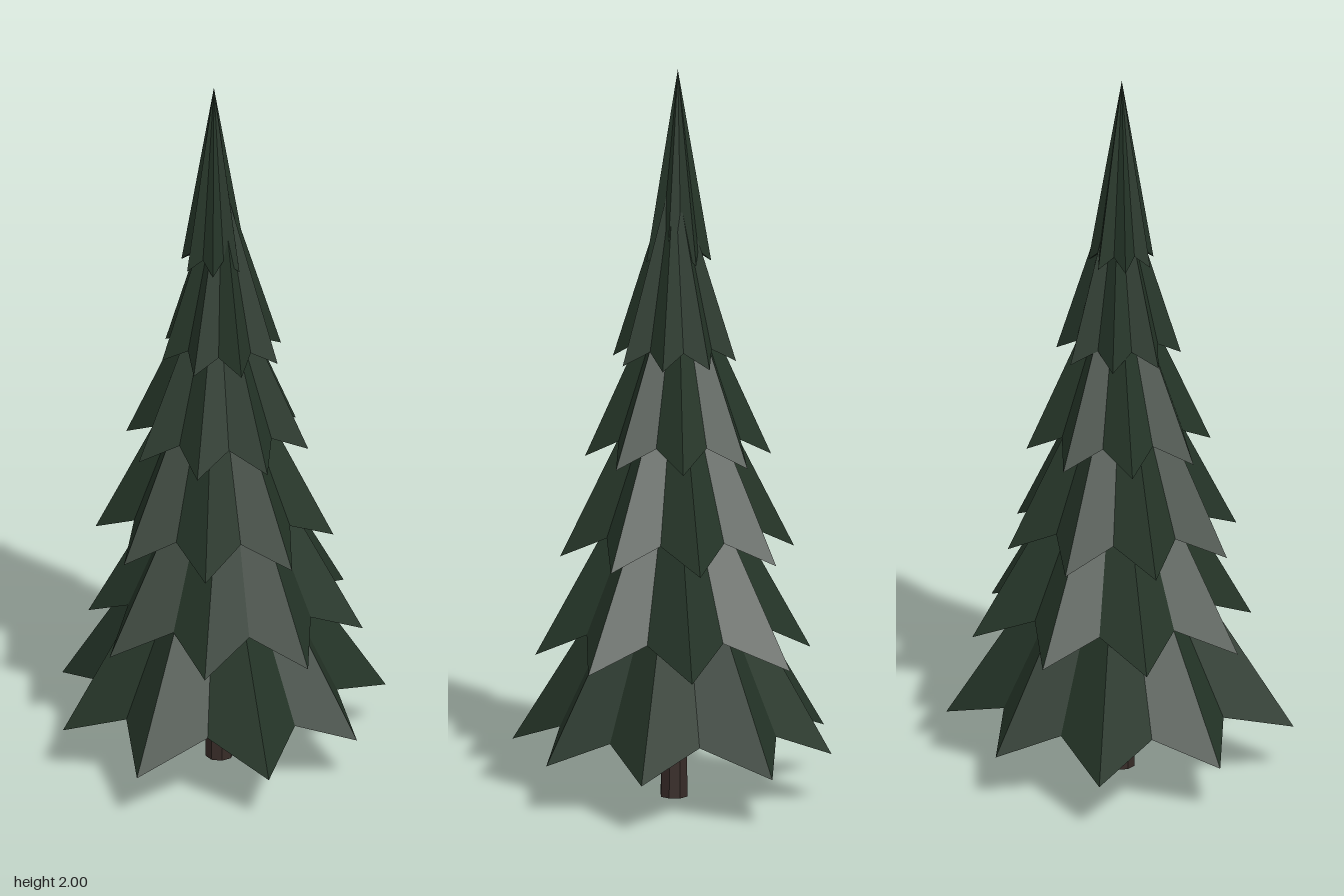
import * as THREE from 'three';

const foliage = new THREE.MeshStandardMaterial({ color: 0x253528, flatShading: true, side: THREE.DoubleSide });
const bark = new THREE.MeshStandardMaterial({ color: 0x372b27, flatShading: true });

// Star-shaped cone with a hollowed underside: pointed tips hang low, valleys sit higher and closer in
function starCone({ x, z, y, r, n, phase, apex, rise, scale }) {
  const rim = [];
  for (let i = 0; i < n * 2; i++) {
    const a = THREE.MathUtils.degToRad(phase) + (i * Math.PI) / n;
    const tip = i % 2 === 0;
    const radius = tip ? r * (scale ? scale[i / 2] : 1) : r * 0.71;
    rim.push([x + radius * Math.cos(a), tip ? y : y + rise, z + radius * Math.sin(a)]);
  }
  const top = [x, apex, z];
  const hollow = [x, y + r * 0.62, z];
  const pos = [];
  rim.forEach((p, i) => {
    const q = rim[(i + 1) % rim.length];
    pos.push(...top, ...q, ...p, ...hollow, ...p, ...q);
  });
  const geo = new THREE.BufferGeometry();
  geo.setAttribute('position', new THREE.Float32BufferAttribute(pos, 3));
  geo.computeVertexNormals();
  return geo;
}

// Branch tiers from the ground up; angles in degrees from +x towards +z
const tiers = [
  { x: 0, z: 0.024, y: 0.135, r: 0.452, n: 8, phase: -8, apex: 0.87, rise: 0.07,
    scale: [1.03, 1.045, 0.93, 1.0, 1.045, 0.965, 1.04, 0.935] },
  { x: 0.01, z: 0.04, y: 0.403, r: 0.378, n: 8, phase: 18, apex: 1.08, rise: 0.075,
    scale: [1.05, 0.99, 0.99, 0.98, 1.02, 0.98, 0.98, 1.05] },
  { x: -0.01, z: 0.02, y: 0.672, r: 0.32, n: 8, phase: 14, apex: 1.31, rise: 0.065 },
  { x: 0, z: 0.022, y: 0.94, r: 0.25, n: 8, phase: 22, apex: 1.5, rise: 0.055 },
  { x: 0.003, z: 0.034, y: 1.208, r: 0.168, n: 8, phase: -9, apex: 1.74, rise: 0.04 },
  { x: -0.01, z: 0.018, y: 1.475, r: 0.09, n: 7, phase: -8, apex: 2.0, rise: 0.035 },
];

export function createModel() {
  const tree = new THREE.Group();
  tree.name = 'pineTree';

  // Trunk, running up inside the lowest tiers
  const trunk = new THREE.Mesh(new THREE.CylinderGeometry(0.034, 0.038, 0.8, 8), bark);
  trunk.name = 'trunk';
  trunk.position.set(-0.004, 0.4, 0.032);
  tree.add(trunk);

  tiers.forEach((tier, i) => {
    const mesh = new THREE.Mesh(starCone(tier), foliage);
    mesh.name = `branchTier${i + 1}`;
    tree.add(mesh);
  });
  return tree;
}
